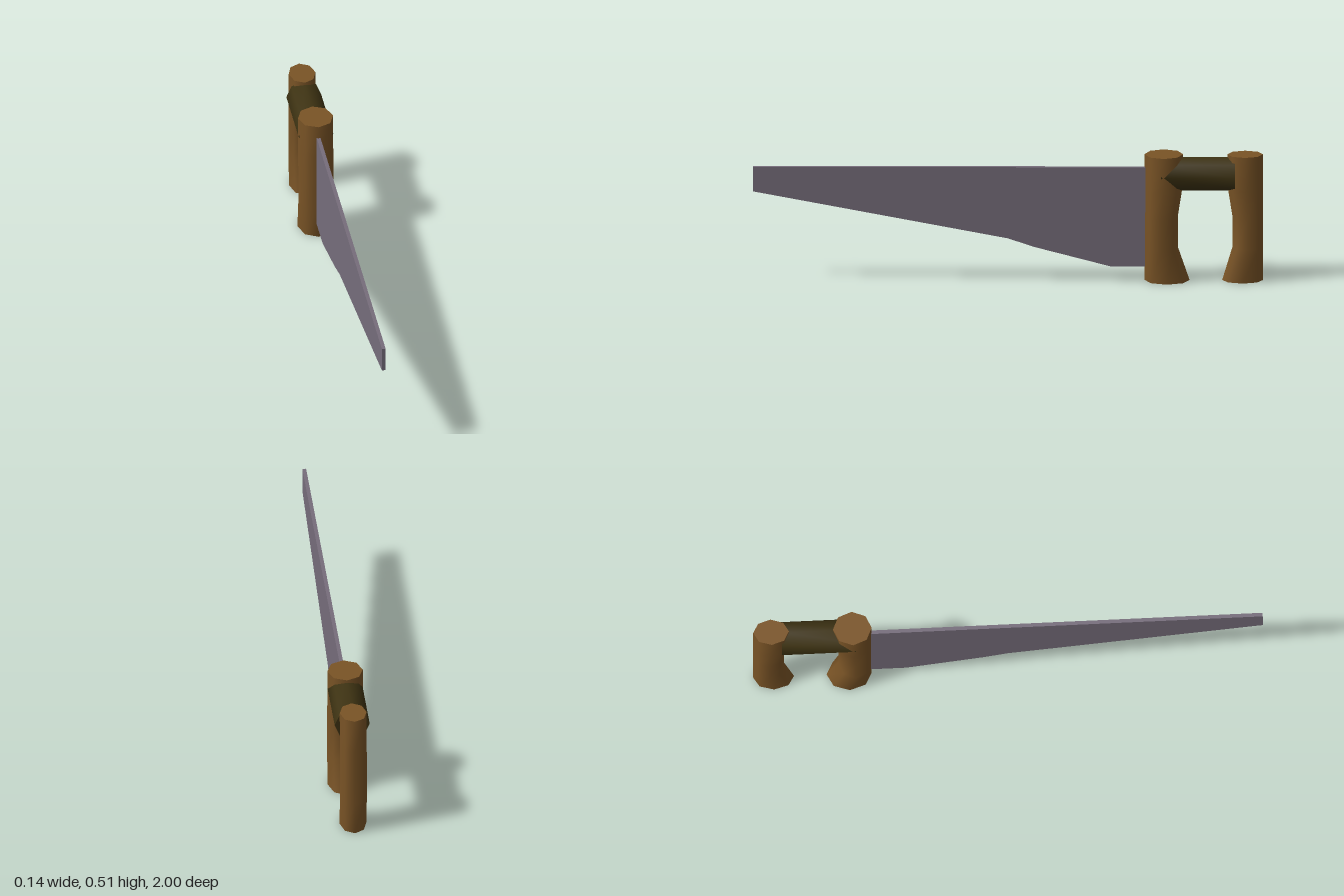
import * as THREE from 'three';
import { toCreasedNormals } from 'three/addons/utils/BufferGeometryUtils.js';

const CREASE = 1.2;

// Eight-sided grip post: one straight side at z = flat, the other follows depth.
// rows run from top to bottom as [y, depth]; dir is the direction of the shaped side.
function postGeometry(halfWidth, flat, dir, rows) {
  const n = rows.length - 1;
  const geo = new THREE.CylinderGeometry(1, 1, 1, 8, n);
  const p = geo.attributes.position;
  for (let i = 0; i < p.count; i++) {
    const [y, depth] = rows[Math.round((0.5 - p.getY(i)) * n)];
    const z = flat + dir * depth / 2 + p.getZ(i) * depth / 2;
    p.setXYZ(i, p.getX(i) * halfWidth, y, z);
  }
  return toCreasedNormals(geo, CREASE);
}

export function createModel() {
  const wood = new THREE.MeshStandardMaterial({ color: 0x7a5426 });
  wood.name = 'wood';
  const darkWood = new THREE.MeshStandardMaterial({ color: 0x3d3212 });
  darkWood.name = 'darkWood';
  const steel = new THREE.MeshStandardMaterial({ color: 0x766d7b });
  steel.name = 'steel';

  const group = new THREE.Group();
  group.name = 'handSaw';
  const add = (name, geometry, material) => {
    const mesh = new THREE.Mesh(geometry, material);
    mesh.name = name;
    group.add(mesh);
    return mesh;
  };

  // Handle posts, waisted on the sides that face each other
  add('frontPost', postGeometry(0.07, -0.535, -1, [
    [0.512, 0.152], [0.37, 0.148], [0.26, 0.131], [0.135, 0.131], [0, 0.177],
  ]), wood);
  add('rearPost', postGeometry(0.053, -1, 1, [
    [0.512, 0.14], [0.37, 0.137], [0.26, 0.12], [0.135, 0.12], [0, 0.16],
  ]), wood);

  // Bar joining the posts
  const bar = new THREE.CylinderGeometry(1, 1, 0.29, 8);
  bar.rotateX(Math.PI / 2).scale(0.069, 0.068, 1);
  add('crossBar', toCreasedNormals(bar, CREASE), darkWood).position.set(0, 0.433, -0.745);

  // Tapered blade, drawn as (z, y) and turned to run along z
  const outline = [
    [1, 0.46], [-0.56, 0.46], [-0.56, 0.057], [-0.4, 0.057],
    [-0.1, 0.136], [0, 0.17], [1, 0.36],
  ].map(([z, y]) => new THREE.Vector2(z, y));
  const blade = new THREE.ExtrudeGeometry(new THREE.Shape(outline), { depth: 0.015, bevelEnabled: false });
  blade.translate(0, 0, -0.0075).rotateY(-Math.PI / 2);
  add('blade', blade, steel);

  return group;
}
